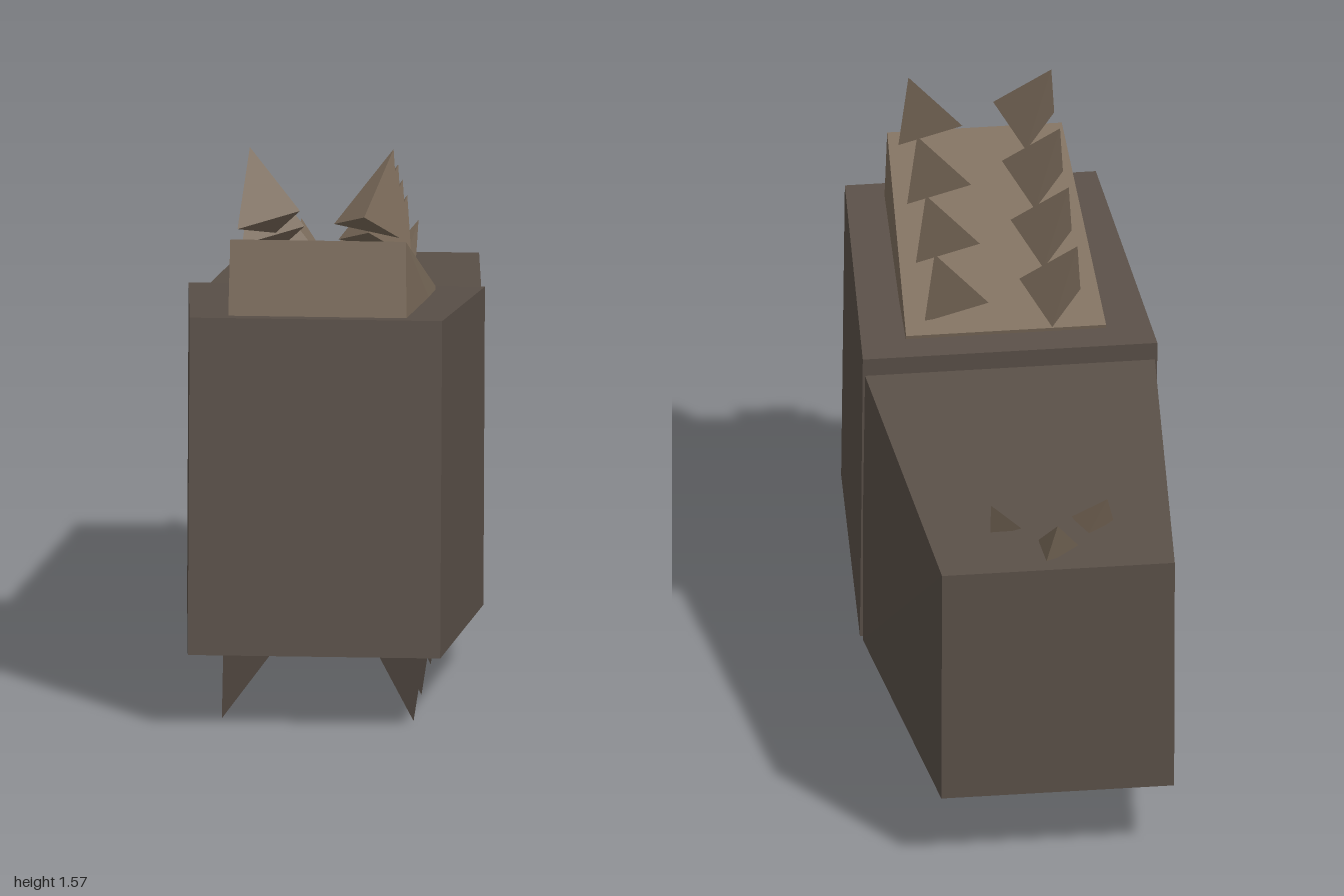
import * as THREE from 'three';
import { ConvexGeometry } from 'three/addons/geometries/ConvexGeometry.js';

const material = (color) => new THREE.MeshStandardMaterial({ color, flatShading: true, side: THREE.DoubleSide });

// Flat-faced solid through a handful of corner points
function solid(name, corners, mat) {
  const mesh = new THREE.Mesh(new ConvexGeometry(corners.map((c) => new THREE.Vector3(...c))), mat);
  mesh.name = name;
  return mesh;
}

// Left-right symmetric block from a side profile of [z, y, halfWidth]
function block(name, profile, mat) {
  return solid(name, profile.flatMap(([z, y, w]) => [[-w, y, z], [w, y, z]]), mat);
}

export function createModel() {
  const model = new THREE.Group();
  model.name = 'spikedBody';
  const hide = material(0x5a5048);
  const plate = material(0x7d6d5c);

  // Two tapered body halves meeting at the waist
  model.add(block('frontBody', [[0.92, 1.135, 0.345], [1, 0.21, 0.345], [0.115, 0.165, 0.405], [0.053, 1.04, 0.405]], hide));
  model.add(block('rearBody', [[0.08, 0.99, 0.4], [0.09, 0.165, 0.4], [-0.985, 0.213, 0.32], [-1, 0.9, 0.32]], hide));

  // Sloped wedge on the shoulders
  model.add(block('shoulderWedge', [[0.83, 1.335, 0.24], [0.87, 1.05, 0.245], [0.16, 0.98, 0.28], [0.14, 1.06, 0.275]], plate));

  // Two rows of back spikes stepping down towards the waist (apex first)
  const rightSpike = [[-0.195, 1.565, 0.70], [-0.05, 1.415, 0.82], [-0.22, 1.365, 0.835], [-0.125, 1.325, 0.695]];
  const leftSpike = [[0.198, 1.565, 0.70], [0.04, 1.37, 0.775], [0.13, 1.415, 0.89], [0.218, 1.33, 0.76]];
  const backSpikes = new THREE.Group();
  backSpikes.name = 'backSpikes';
  for (let i = 0; i < 4; i++) {
    [['right', rightSpike], ['left', leftSpike]].forEach(([side, pts]) => {
      const spike = solid(`${side}BackSpike`, pts, plate);
      spike.position.set(0, -0.085 * i, -0.19 * i);
      backSpikes.add(spike);
    });
  }
  model.add(backSpikes);

  // Two rows of downward spikes under the belly
  const bellySpikes = new THREE.Group();
  bellySpikes.name = 'bellySpikes';
  const rightBelly = [[-0.262, 0, 0], [-0.255, 0.205, 0.05], [-0.13, 0.18, 0.01], [-0.24, 0.18, -0.09]];
  const leftBelly = [[0.262, 0, 0], [0.295, 0.205, 0.05], [0.17, 0.185, 0.03], [0.25, 0.18, -0.09]];
  for (const z of [0.845, 0.515, 0.13, -0.25]) {
    [['right', rightBelly], ['left', leftBelly]].forEach(([side, pts]) => {
      const spike = solid(`${side}BellySpike`, pts, hide);
      spike.position.z = z;
      bellySpikes.add(spike);
    });
  }
  model.add(bellySpikes);

  // Three small spikes near the tail end
  const tailSpikes = new THREE.Group();
  tailSpikes.name = 'tailSpikes';
  [
    [[0, 1.025, -0.985], [-0.065, 0.93, -0.92], [0.035, 0.915, -0.845], [0.03, 0.89, -0.95]],
    [[-0.155, 1.025, -0.84], [-0.18, 0.925, -0.77], [-0.07, 0.925, -0.735], [-0.1, 0.9, -0.82]],
    [[0.165, 1.025, -0.84], [0.075, 0.925, -0.79], [0.135, 0.935, -0.705], [0.16, 0.9, -0.78]],
  ].forEach((pts) => tailSpikes.add(solid('tailSpike', pts, plate)));
  model.add(tailSpikes);

  return model;
}
